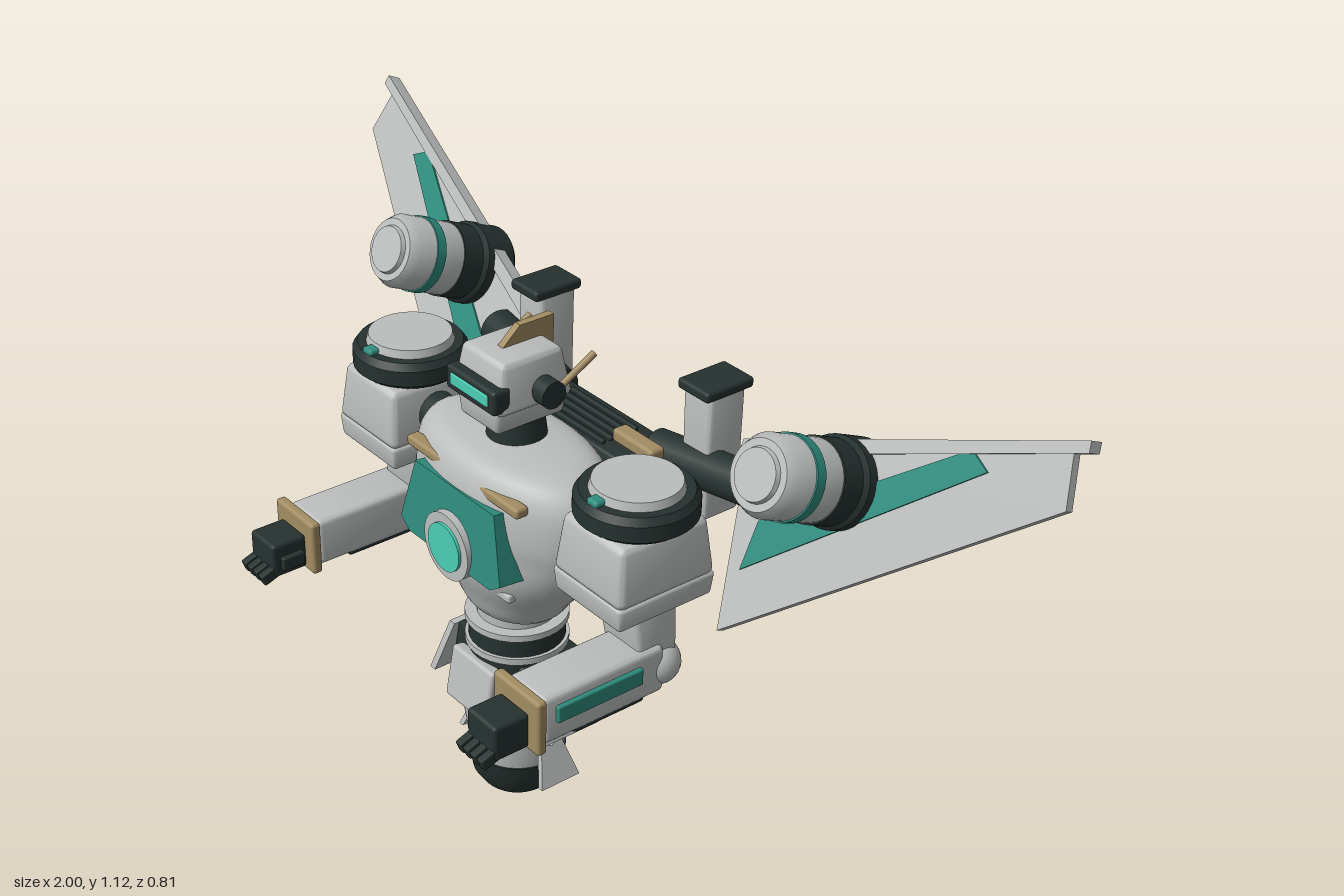
import * as THREE from 'three';
import { RoundedBoxGeometry } from 'three/addons/geometries/RoundedBoxGeometry.js';
import { toCreasedNormals } from 'three/addons/utils/BufferGeometryUtils.js';

const mat = (name, color) => Object.assign(new THREE.MeshStandardMaterial({ color }), { name });

export function createModel() {
  const root = new THREE.Group();
  root.name = 'flyingRobot';
  const grey = mat('light grey armour', 0xbcbebe), dark = mat('dark frame', 0x263230);
  const teal = mat('teal panel', 0x2e8c7d), glow = mat('bright teal glow', 0x4ccfb6);
  const tan = mat('tan trim', 0xa28c62);

  const add = (name, geo, m, x = 0, y = 0, z = 0, parent = root) => {
    const mesh = new THREE.Mesh(geo, m);
    mesh.name = name;
    mesh.position.set(x, y, z);
    parent.add(mesh);
    return mesh;
  };
  // Moves every vertex by a rule
  const reshape = (geo, rule) => {
    const p = geo.attributes.position, v = new THREE.Vector3();
    for (let i = 0; i < p.count; i++) {
      rule(v.fromBufferAttribute(p, i));
      p.setXYZ(i, v.x, v.y, v.z);
    }
    geo.computeVertexNormals();
    return toCreasedNormals(geo, 0.6);
  };
  const box = (w, h, d, r = 0.008) => new RoundedBoxGeometry(w, h, d, 2, Math.min(r, w / 3, h / 3, d / 3));
  // Box whose top is scaled by tx, tz
  const taper = (w, h, d, tx, tz, r) => reshape(box(w, h, d, r), v => {
    const t = v.y / h + 0.5;
    v.x *= 1 + (tx - 1) * t;
    v.z *= 1 + (tz - 1) * t;
  });
  const cyl = (rt, rb, h, n = 32) => new THREE.CylinderGeometry(rt, rb, h, n);
  const lathe = pts => toCreasedNormals(
    new THREE.LatheGeometry(pts.map(p => new THREE.Vector2(...p)), 36), 0.6);
  const plate = (pts, depth) => new THREE.ExtrudeGeometry(
    new THREE.Shape(pts.map(p => new THREE.Vector2(...p))), { depth, bevelEnabled: false })
    .translate(0, 0, -depth / 2);
  // Plate outlined in (z, y), facing sideways
  const sidePlate = (pts, depth) => plate(pts, depth).rotateY(-Math.PI / 2);
  const rod = (name, a, b, r, m, parent = root) => {
    const A = new THREE.Vector3(...a), B = new THREE.Vector3(...b);
    const mesh = add(name, cyl(r, r, A.distanceTo(B), 20), m, 0, 0, 0, parent);
    mesh.position.copy(A).add(B).multiplyScalar(0.5);
    mesh.quaternion.setFromUnitVectors(new THREE.Vector3(0, 1, 0), B.sub(A).normalize());
    return mesh;
  };

  // Torso: rounder at the waist, flatter front to back at the chest
  const torso = new THREE.LatheGeometry(new THREE.SplineCurve([[0.001, 0.44], [0.095, 0.44], [0.15, 0.5],
    [0.21, 0.57], [0.248, 0.64], [0.258, 0.7], [0.245, 0.765], [0.2, 0.805], [0.1, 0.818], [0, 0.82]]
    .map(p => new THREE.Vector2(...p))).getPoints(40), 40);
  add('torso', reshape(torso, v => {
    v.z *= 0.8 - 0.25 * Math.min(1, Math.max(0, (v.y - 0.44) / 0.2));
  }), grey, 0, 0, 0.025);
  const chest = add('chestPanel', plate([[-0.125, 0.08], [0.125, 0.08], [0.16, -0.055], [0.13, -0.075],
    [-0.13, -0.075], [-0.16, -0.055]], 0.06), teal, 0, 0.665, 0.145);
  chest.rotation.x = -0.1;
  const ring = add('reactorRing', cyl(0.07, 0.07, 0.03), grey, 0, 0.625, 0.173);
  const core = add('reactorCore', cyl(0.05, 0.05, 0.008), glow, 0, 0.625, 0.19);
  ring.rotation.x = core.rotation.x = Math.PI / 2;
  add('chestBar', box(0.35, 0.022, 0.03), tan, 0, 0.766, 0.138);

  // Neck and head
  add('neck', cyl(0.05, 0.06, 0.08), dark, 0, 0.845, 0.02);
  add('jaw', taper(0.115, 0.06, 0.155, 1.15, 1.05), grey, 0, 0.893, 0.03);
  add('skull', taper(0.155, 0.1, 0.17, 0.82, 0.8, 0.012), grey, 0, 0.957, 0.03);
  add('visor', box(0.15, 0.05, 0.04), dark, 0, 0.94, 0.108);
  add('visorLight', box(0.115, 0.024, 0.008), glow, 0, 0.942, 0.127);
  add('crest', sidePlate([[0.065, 1.0], [0.018, 1.042], [-0.06, 1.042], [-0.06, 0.985]], 0.016), tan);

  // Waist and tail body
  const z0 = 0.02;
  add('waistColumn', cyl(0.08, 0.08, 0.08), grey, 0, 0.43, z0);
  add('waist', cyl(0.097, 0.097, 0.09), dark, 0, 0.365, z0);
  for (const y of [0.357, 0.412]) add('waistRing', cyl(0.104, 0.104, 0.014), grey, 0, y, z0);
  add('hipBlock', taper(0.29, 0.11, 0.15, 0.85, 0.95), dark, 0, 0.285, 0.005);
  add('tailBody', lathe([[0, 0.32], [0.09, 0.32], [0.116, 0.24], [0.095, 0.08], [0, 0.08]].reverse()), grey, 0, 0, z0);
  add('tailNozzle', lathe([[0, 0.008], [0.074, 0.008], [0.092, 0.035], [0.1, 0.088], [0, 0.088]]), dark, 0, 0, z0);
  add('tailGlow', cyl(0.065, 0.065, 0.009), glow, 0, 0.0045, z0);
  add('frontSkirt', box(0.135, 0.115, 0.03), grey, 0, 0.28, 0.127).rotation.x = -0.18;

  // Backpack
  add('backpack', taper(0.34, 0.28, 0.14, 0.95, 0.9), dark, 0, 0.65, -0.155);
  add('backPanel', taper(0.25, 0.22, 0.04, 0.95, 1), grey, 0, 0.63, -0.232);
  add('backStripe', box(0.03, 0.165, 0.009), teal, 0, 0.637, -0.256);
  for (let i = 0; i < 5; i++) add('backVent', box(0.2, 0.014, 0.01), dark, 0, 0.792, -0.11 - i * 0.02);

  for (const s of [1, -1]) {
    // Head sides
    add('ear', cyl(0.027, 0.027, 0.04), dark, s * 0.085, 0.937, 0.013).rotation.z = Math.PI / 2;
    rod('antenna', [s * 0.095, 0.94, 0.0], [s * 0.097, 0.99, -0.085], 0.007, tan);
    add('chestVent', box(0.045, 0.02, 0.02), grey, s * 0.105, 0.548, 0.126);

    // Shoulder
    const sx = s * 0.35;
    rod('shoulderAxle', [s * 0.2, 0.74, 0.02], [s * 0.3, 0.74, 0.02], 0.045, dark);
    add('shoulderPad', taper(0.195, 0.12, 0.225, 0.86, 0.88, 0.015), grey, sx, 0.75, 0.02);
    add('shoulderSkirt', taper(0.185, 0.05, 0.215, 1.05, 1.04), grey, sx, 0.67, 0.02);
    add('shoulderDisc', lathe([[0, 0.808], [0.1, 0.808], [0.115, 0.82], [0.115, 0.852], [0.105, 0.866],
      [0, 0.866]]), dark, sx, 0, 0.018);
    add('shoulderCap', cyl(0.083, 0.09, 0.025), grey, sx, 0.87, 0.018);
    add('shoulderTab', box(0.03, 0.02, 0.03), teal, sx, 0.866, 0.108);
    for (const z of [0.1, -0.065]) add('shoulderClip', box(0.05, 0.02, 0.03), teal, sx, 0.81, z);

    // Arm
    const ax = s * 0.366;
    const upper = add('upperArm', taper(0.1, 0.17, 0.085, 1.15, 1.25), grey, s * 0.35, 0.585, 0.005);
    upper.rotation.z = s * 0.15;
    add('elbow', new THREE.SphereGeometry(0.046, 24, 16), grey, s * 0.385, 0.497, -0.012);
    add('forearm', taper(0.11, 0.1, 0.28, 0.95, 1, 0.012), grey, ax, 0.502, 0.137);
    add('forearmStripe', box(0.012, 0.036, 0.196), teal, s * 0.422, 0.512, 0.152);
    add('forearmGuard', box(0.1, 0.03, 0.165), dark, ax, 0.458, 0.122);
    add('cuff', box(0.134, 0.116, 0.022), tan, ax, 0.503, 0.289);
    add('palm', box(0.084, 0.074, 0.078), dark, ax, 0.491, 0.338);
    for (let i = 0; i < 4; i++)
      add('finger', box(0.017, 0.026, 0.045, 0.004), dark, ax + (i - 1.5) * 0.021, 0.463, 0.379).rotation.x = 0.35;
    add('thumb', box(0.018, 0.03, 0.05, 0.004), dark, ax - s * 0.045, 0.485, 0.335);

    // Hip plate and tail fin, both leaning outwards
    add('sideSkirt', reshape(sidePlate([[0.085, 0.335], [-0.04, 0.335], [-0.047, 0.21], [0.11, 0.21]], 0.016),
      v => { v.x += s * (0.132 + (0.335 - v.y) * 0.3); }), grey);
    add('tailFin', reshape(sidePlate([[0.042, 0.155], [0.02, 0.142], [-0.005, 0.155], [-0.03, 0.065],
      [0.065, 0.065]], 0.012), v => { v.x += s * (0.105 + (0.15 - v.y) * 0.36); }), grey);

    // Exhaust stack, brace and back thruster
    add('exhaustStack', taper(0.07, 0.27, 0.085, 1.1, 1), grey, s * 0.252, 0.81, -0.245);
    add('exhaustCap', box(0.085, 0.022, 0.115), dark, s * 0.254, 0.945, -0.245);
    add('backBrace', box(0.115, 0.028, 0.035), tan, s * 0.185, 0.826, -0.122);
    rod('wingHinge', [s * 0.15, 0.77, -0.2], [s * 0.4, 0.79, -0.235], 0.042, dark);
    rod('backThruster', [s * 0.085, 0.53, -0.15], [s * 0.085, 0.452, -0.267], 0.052, dark);
    rod('backThrusterGlow', [s * 0.085, 0.453, -0.266], [s * 0.085, 0.449, -0.272], 0.043, glow);

    // Wing, leaning back
    const wing = new THREE.Group();
    wing.name = 'wing';
    wing.position.set(0, 0.52, -0.13);
    wing.rotation.x = -Math.atan(0.445);
    root.add(wing);
    const at = (x, y) => [s * x, (y - 0.52) / 0.9136];
    add('wingPanel', plate([at(0.97, 1.085), at(1, 1.0), at(0.42, 0.53), at(0.33, 0.84)], 0.018), grey, 0, 0, 0, wing);
    add('wingStripe', plate([at(0.835, 0.995), at(0.79, 1.015), at(0.42, 0.735), at(0.42, 0.645)], 0.026),
      teal, 0, 0, 0, wing);
    add('wingLeadingEdge', plate([at(0.995, 1.112), at(1, 1.094), at(0.32, 0.815), at(0.32, 0.845)], 0.03),
      grey, 0, 0, 0, wing);

    // Wing booster, running through the panel
    const booster = new THREE.Group();
    booster.name = 'booster';
    booster.position.set(s * 0.555, 0.374, 0);
    booster.rotation.x = Math.PI / 2;
    wing.add(booster);
    add('boosterNose', lathe([[0, 0.08], [0.076, 0.08], [0.076, 0.205], [0.064, 0.226], [0.05, 0.226],
      [0.047, 0.235], [0, 0.235]]), grey, 0, 0, 0, booster);
    add('boosterBand', cyl(0.079, 0.079, 0.022), teal, 0, 0.152, 0, booster);
    add('boosterEngine', lathe([[0, -0.048], [0.08, -0.048], [0.086, -0.04], [0.086, 0.03], [0.079, 0.04],
      [0.079, 0.09], [0, 0.09]]), dark, 0, 0, 0, booster);
    add('boosterGlow', cyl(0.07, 0.07, 0.006), glow, 0, -0.05, 0, booster);
  }
  return root;
}
